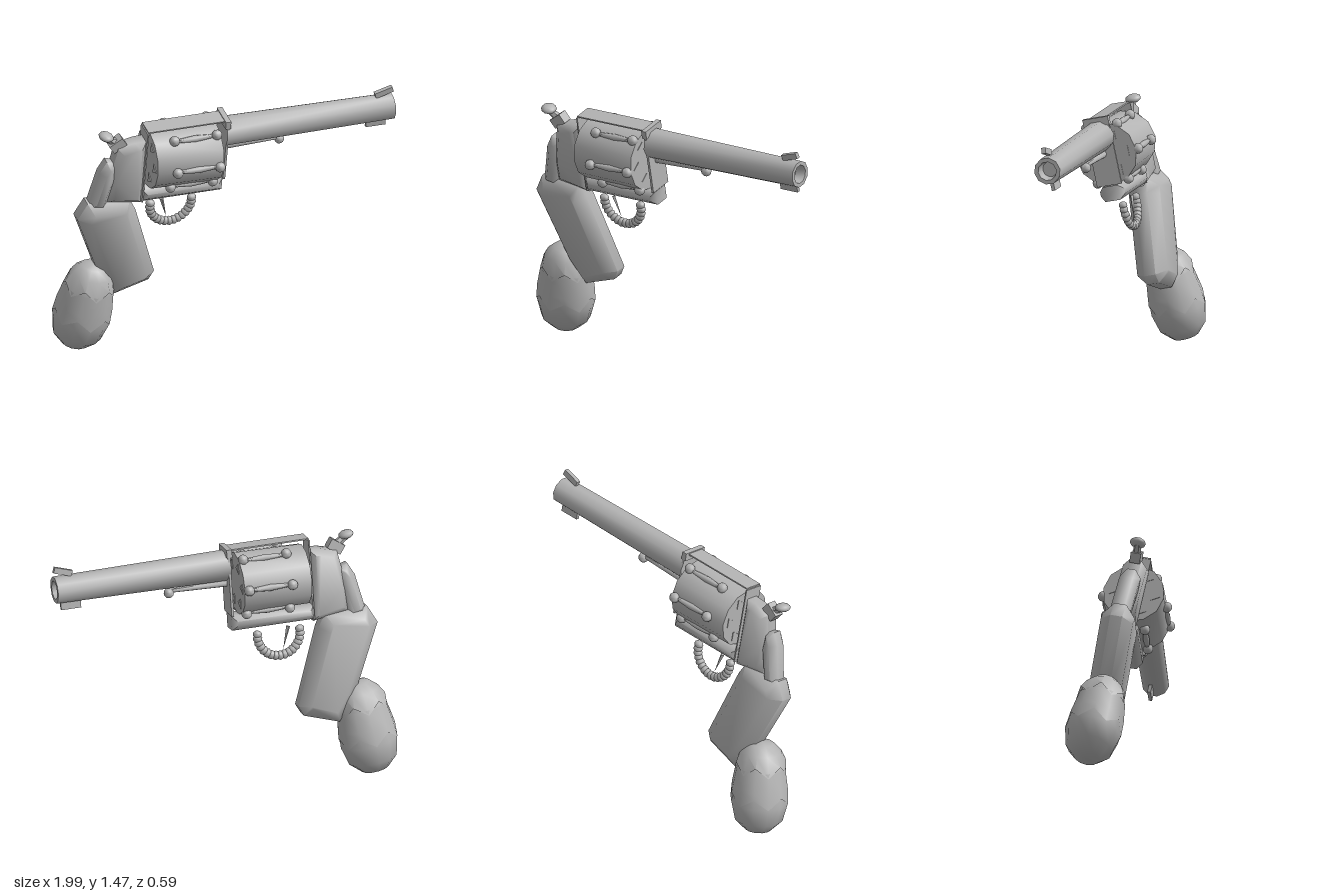
import * as THREE from 'three';
import { toCreasedNormals } from 'three/addons/utils/BufferGeometryUtils.js';

export function createModel() {
  const model = new THREE.Group();
  model.name = 'revolver';
  const steel = new THREE.MeshStandardMaterial({ color: 0xb4b4b4 });
  steel.name = 'grey steel';
  const steelSheet = new THREE.MeshStandardMaterial({ color: 0xb4b4b4, side: THREE.DoubleSide });
  steelSheet.name = 'grey steel sheet';

  // The whole gun leans about its barrel axis; its origin is the drum centre.
  const lean = 0.215;
  const gun = new THREE.Group();
  gun.name = 'leaningBody';
  gun.rotation.x = lean;
  gun.position.set(0, 1.22, 0.085);
  model.add(gun);
  const up = (y) => (y - 1.22) / Math.cos(lean);

  const add = (name, geo, x = 0, y = 0, z = 0, crease = 0.6, mat = steel) => {
    const mesh = new THREE.Mesh(toCreasedNormals(geo, crease), mat);
    mesh.name = name;
    mesh.position.set(x, y, z);
    gun.add(mesh);
    return mesh;
  };
  const box = (name, x0, x1, y0, y1, width) =>
    add(name, new THREE.BoxGeometry(x1 - x0, up(y1) - up(y0), width), (x0 + x1) / 2, (up(y0) + up(y1)) / 2, 0);
  // Round bar along x with different end radii
  const bar = (name, x0, x1, y, z, r0, r1, sides) =>
    add(name, new THREE.CylinderGeometry(r1, r0, x1 - x0, sides).rotateZ(-Math.PI / 2), (x0 + x1) / 2, y, z, 0.9);
  const lathe = (pts, sides) => new THREE.LatheGeometry(pts.map(([r, h]) => new THREE.Vector2(r, h)), sides);
  // Side outline extruded across the gun, with smoothly shaded chamfers
  const slab = (name, points, width, bevel) => {
    const shape = new THREE.Shape(points.map(([x, y]) => new THREE.Vector2(x, up(y))));
    const geo = new THREE.ExtrudeGeometry(shape, {
      depth: width - 2 * bevel, bevelEnabled: true, bevelThickness: bevel,
      bevelSize: bevel, bevelOffset: -bevel, bevelSegments: 1,
    });
    return add(name, geo.translate(0, 0, bevel - width / 2), 0, 0, 0, 0.95);
  };
  const knob = (name, x, y, z, r) => add(name, new THREE.IcosahedronGeometry(r, 1), x, y, z, 0.9);

  // Barrel with a recessed bore, sight, lug and ejector rod
  const barrel = [[0, -0.05], [0.09, -0.05], [0.079, 0.99], [0.055, 0.99], [0.045, 0.93], [0, 0.93]];
  add('barrel', lathe(barrel, 10).rotateZ(-Math.PI / 2), 0, 0.117, 0.003, 0.9);
  add('frontSight', new THREE.BoxGeometry(0.11, 0.035, 0.025), 0.935, up(1.437), 0).rotation.z = 0.3;
  box('barrelLug', 0.84, 0.96, 1.215, 1.27, 0.02);
  bar('ejectorRod', -0.06, 0.3, 0.012, 0, 0.024, 0.012, 8);
  knob('ejectorKnob', 0.31, 0, 0, 0.03);

  // Drum with six pairs of studs joined by spindles
  bar('drum', -0.5, -0.095, 0, 0, 0.178, 0.185, 12);
  const spindle = [[0, -0.13], [0.01, -0.13], [0.02, 0], [0.01, 0.13], [0, 0.13]];
  for (let i = 0; i < 6; i++) {
    const a = i * Math.PI / 3, y = Math.sin(a), z = Math.cos(a);
    knob('drumStud', -0.38, y * 0.188, z * 0.188, 0.031);
    knob('drumStud', -0.12, y * 0.188, z * 0.188, 0.031);
    add('drumSpindle', lathe(spindle, 8).rotateZ(-Math.PI / 2), -0.25, y * 0.18, z * 0.18, 1);
    // Triangular chamber marks on both ends
    for (const x of [-0.501, -0.094]) {
      bar('chamberMark', x - 0.003, x + 0.003, y * 0.12, z * 0.12, 0.035, 0.035, 3);
    }
  }

  // Frame around the drum
  box('topStrap', -0.53, -0.04, 1.428, 1.436, 0.11);
  box('frontPlate', -0.05, -0.036, 1.05, 1.42, 0.15);
  box('frontPlateTop', -0.062, -0.03, 1.395, 1.442, 0.155);
  box('recoilPlate', -0.535, -0.527, 0.96, 1.425, 0.12);
  slab('bottomFrame', [[-0.54, 0.96], [-0.04, 0.96], [-0.04, 1.045], [-0.54, 1.045]], 0.15, 0.03);
  slab('rearFrame', [[-0.53, 0.945], [-0.53, 1.365], [-0.6, 1.36], [-0.7, 1.335], [-0.745, 1.12], [-0.74, 0.98]], 0.14, 0.035);

  // Hammer
  add('hammerArm', new THREE.BoxGeometry(0.09, 0.06, 0.06), -0.7, up(1.355), 0).rotation.z = 0.6;
  bar('hammerNeck', -0.78, -0.69, 0.165, 0, 0.02, 0.025, 6).rotation.z = -0.55;
  const spur = knob('hammerSpur', -0.77, up(1.412), 0, 0.05);
  spur.scale.set(0.9, 0.5, 0.95);
  spur.rotation.z = -0.2;

  // Beaded trigger guard and trigger
  for (let i = 0; i <= 16; i++) {
    const a = Math.PI * (0.96 + i * 1.08 / 16);
    const bead = knob('guardBead', -0.33 + Math.cos(a) * 0.128, up(0.888 + Math.sin(a) * 0.125), 0, 0.028);
    bead.rotation.z = a;
    bead.scale.set(1, 0.8, 0.9);
  }
  const trigger = add('trigger', new THREE.ConeGeometry(0.012, 0.14, 4), -0.37, up(0.86), 0);
  trigger.rotation.z = Math.PI + 0.28;

  // Grip and back strap
  slab('backStrap', [[-0.76, 1.25], [-0.7, 1.23], [-0.69, 1.13], [-0.75, 0.93], [-0.855, 0.95], [-0.8, 1.18]], 0.12, 0.035);
  slab('grip', [[-0.86, 0.985], [-0.6, 0.975], [-0.56, 0.9], [-0.41, 0.455], [-0.44, 0.4],
    [-0.65, 0.335], [-0.75, 0.48], [-0.915, 0.885]], 0.19, 0.06);

  // Rounded butt, slimmer across, with two jagged overlapping collars
  const butt = new THREE.Group();
  butt.name = 'butt';
  butt.position.set(-0.83, up(0.19), 0.012);
  butt.rotation.z = -0.15;
  butt.scale.z = 0.95;
  gun.add(butt);
  const profile = [[0, -0.185], [0.08, -0.175], [0.145, -0.11], [0.172, 0], [0.165, 0.1],
    [0.145, 0.22], [0.118, 0.31], [0.07, 0.355], [0, 0.37]];
  butt.add(add('buttCore', lathe(profile, 12), 0, 0, 0, 1));
  const collar = (name, pts) => {
    const geo = lathe(pts, 12), p = geo.attributes.position, n = pts.length;
    for (let i = 0; i < p.count; i += n) {
      if ((i / n) % 2) p.setY(i, p.getY(i) + 0.06);
    }
    geo.computeVertexNormals();
    butt.add(add(name, geo, 0, 0, 0, 1, steelSheet));
  };
  collar('lowerCollar', [[0.174, 0], [0.168, 0.1], [0.148, 0.22]]);
  collar('upperCollar', [[0.154, 0.19], [0.122, 0.31], [0.073, 0.358], [0, 0.374]]);

  return model;
}
